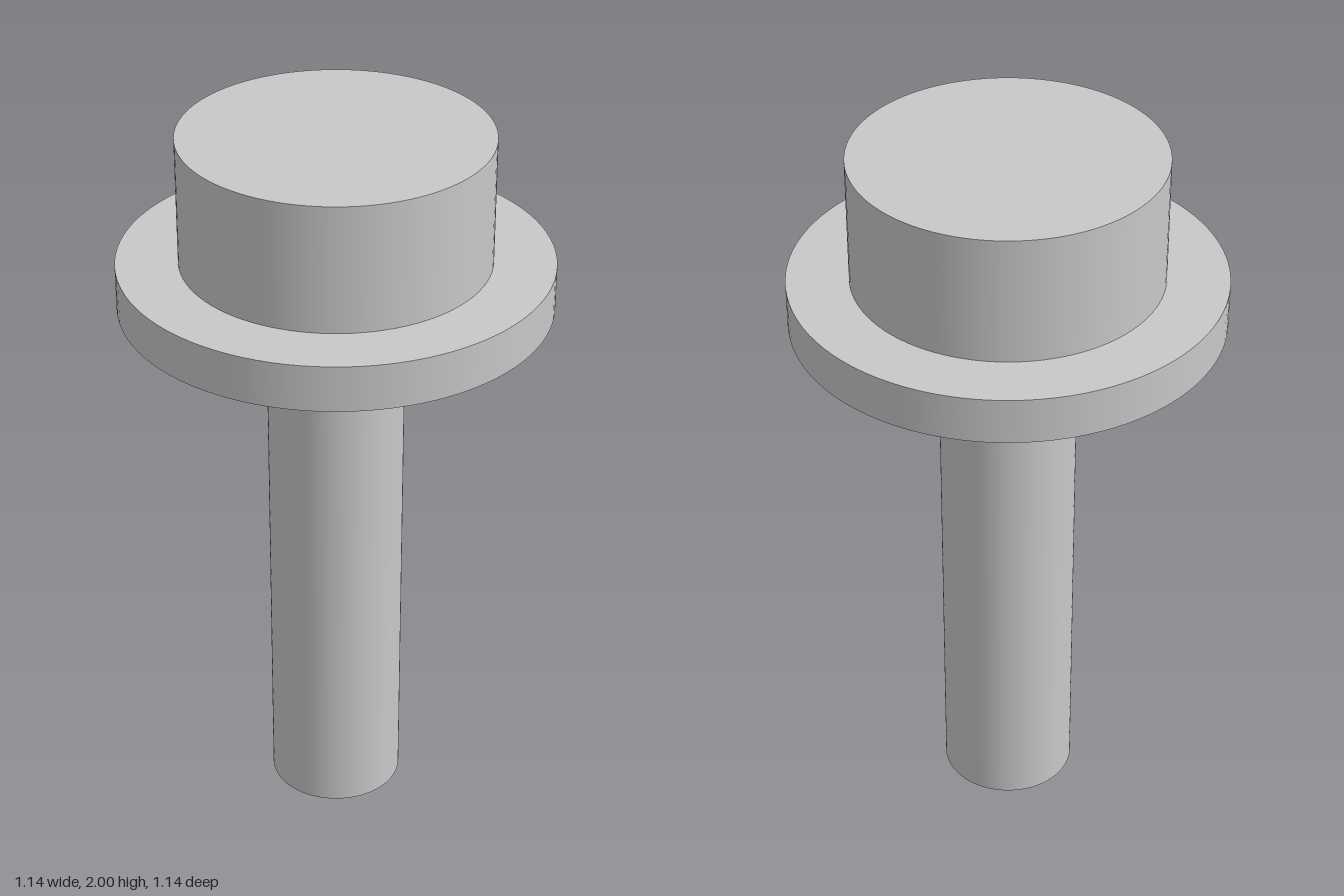
import * as THREE from 'three';

export function createModel() {
  const model = new THREE.Group();
  model.name = 'flangedBolt';

  const steel = new THREE.MeshStandardMaterial({ color: 0xc8c8c8 });
  steel.name = 'plain steel';

  // Adds an upright cylinder spanning bottom..top
  function addDisc(name, radius, bottom, top) {
    const height = top - bottom;
    const mesh = new THREE.Mesh(new THREE.CylinderGeometry(radius, radius, height, 96), steel);
    mesh.name = name;
    mesh.position.y = bottom + height / 2;
    model.add(mesh);
  }

  addDisc('shank', 0.183, 0, 1.531);
  addDisc('flange', 0.571, 1.531, 1.656);
  addDisc('head', 0.408, 1.656, 2);

  return model;
}
